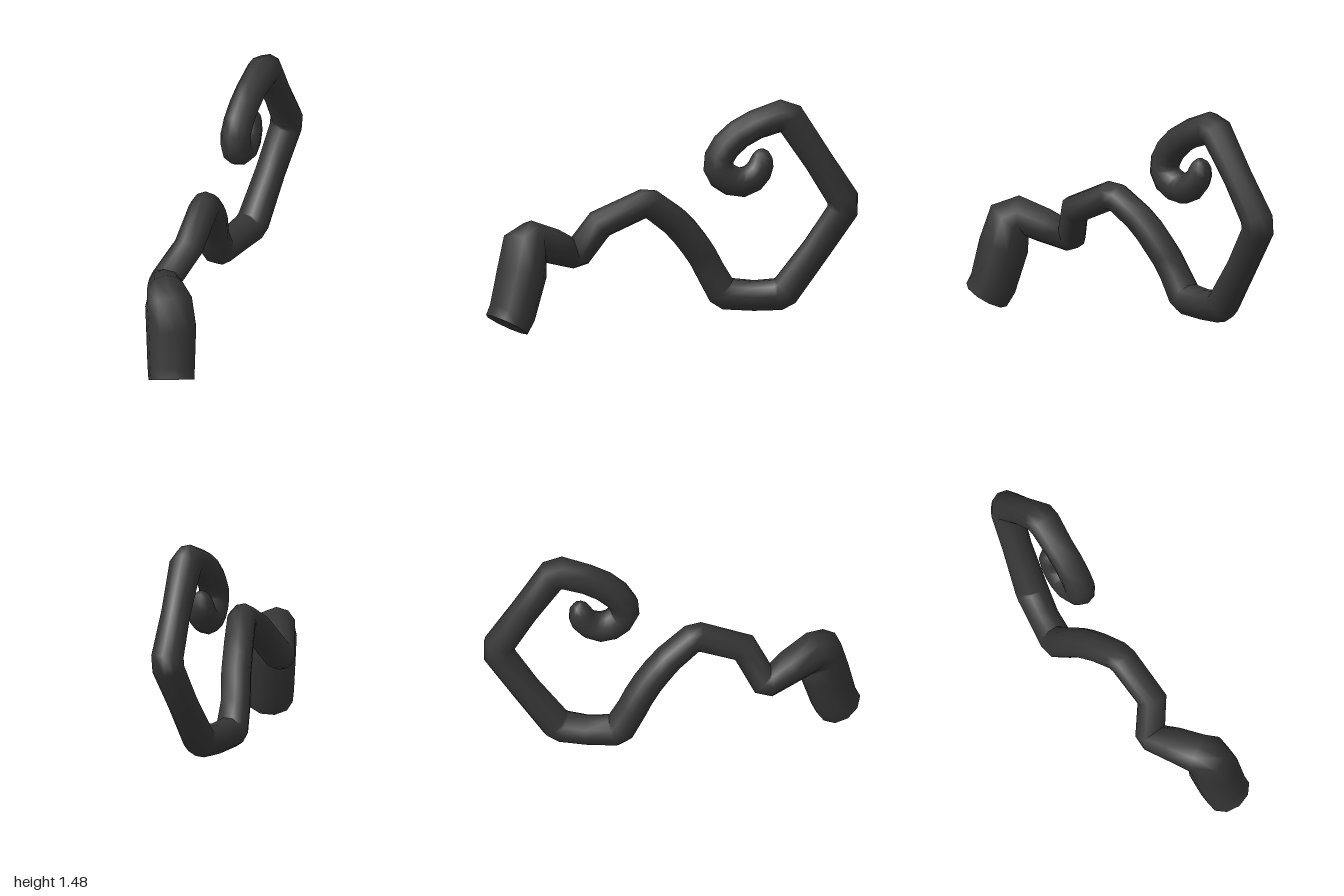
import * as THREE from 'three';

const SIDES = 10;

// Centre line of the tail: x, y, z, radius; a fifth number is the chamfer of a sharp bend
const path = [
  // thick root
  [-0.86, 0.078, 0.685, 0.15],
  [-0.838, 0.155, 0.647, 0.155],
  [-0.8, 0.41, 0.585, 0.164],
  [-0.795, 0.575, 0.545, 0.156],
  [-0.775, 0.61, 0.48, 0.129],
  // thin kinked part
  [-0.69, 0.55, 0.335, 0.114],
  [-0.603, 0.482, 0.18, 0.1, 0.028],
  [-0.428, 0.698, 0.198, 0.098],
  [-0.18, 0.833, 0.0, 0.097, 0.035],
  // slope down to the low bend
  [-0.06, 0.695, -0.14, 0.098],
  [-0.01, 0.615, -0.2, 0.1],
  [0.035, 0.53, -0.25, 0.1],
  [0.07, 0.445, -0.3, 0.1],
  [0.1, 0.355, -0.34, 0.1],
  [0.168, 0.193, -0.4, 0.108, 0.028],
  [0.35, 0.18, -0.485, 0.101],
  [0.523, 0.193, -0.555, 0.108, 0.03],
  // angular loop
  [0.72, 0.49, -0.645, 0.098],
  [0.903, 0.785, -0.722, 0.105, 0.05],
  [0.75, 1.085, -0.61, 0.095],
  [0.585, 1.395, -0.49, 0.107, 0.045],
  // curl
  [0.41, 1.325, -0.385, 0.098],
  [0.32, 1.265, -0.325, 0.098],
  [0.25, 1.19, -0.28, 0.098],
  [0.212, 1.115, -0.255, 0.098],
  [0.208, 1.05, -0.25, 0.099],
  [0.232, 0.995, -0.27, 0.101],
  [0.275, 0.957, -0.31, 0.102],
  [0.33, 0.945, -0.35, 0.101],
  [0.383, 0.97, -0.39, 0.096],
  [0.415, 1.015, -0.418, 0.09],
  [0.428, 1.06, -0.432, 0.083],
  [0.43, 1.1, -0.434, 0.073],
  [0.427, 1.135, -0.432, 0.052],
  [0.424, 1.157, -0.43, 0.02],
];

// Split each sharp bend into two close stations, giving a chamfered elbow
function stations() {
  const pts = path.map(([x, y, z]) => new THREE.Vector3(x, y, z));
  const out = [];
  path.forEach(([, , , r, chamfer], i) => {
    if (!chamfer) return out.push({ p: pts[i], r });
    for (const k of [i - 1, i + 1]) {
      const d = pts[k].clone().sub(pts[i]).normalize();
      out.push({ p: pts[i].clone().addScaledVector(d, chamfer), r });
    }
  });
  return out;
}

// Rings carried along the path without twisting
function makeRings() {
  const st = stations();
  const normal = new THREE.Vector3(1, 0, 0);
  let prev = null;
  return st.map(({ p, r }, i) => {
    const t = new THREE.Vector3();
    if (i > 0) t.add(p.clone().sub(st[i - 1].p).normalize());
    if (i < st.length - 1) t.add(st[i + 1].p.clone().sub(p).normalize());
    t.normalize();
    if (prev) normal.applyQuaternion(new THREE.Quaternion().setFromUnitVectors(prev, t));
    normal.addScaledVector(t, -normal.dot(t)).normalize();
    prev = t;
    const side = t.clone().cross(normal);
    return Array.from({ length: SIDES }, (_, j) => {
      const a = (j / SIDES) * Math.PI * 2;
      return p.clone().addScaledVector(normal, r * Math.cos(a)).addScaledVector(side, r * Math.sin(a));
    });
  });
}

function build(points, index) {
  const g = new THREE.BufferGeometry().setFromPoints(points);
  g.setIndex(index);
  g.computeVertexNormals();
  return g;
}

export function createModel() {
  const group = new THREE.Group();
  group.name = 'curledTail';
  const charcoal = new THREE.MeshStandardMaterial({ color: 0x353535 });
  charcoal.name = 'charcoal';

  const rings = makeRings();
  const add = (name, geometry) => {
    const mesh = new THREE.Mesh(geometry, charcoal);
    mesh.name = name;
    group.add(mesh);
  };

  // Smooth skin, closed at the tip by a single point
  const skin = [];
  for (let i = 0; i < rings.length - 1; i++) {
    for (let j = 0; j < SIDES; j++) {
      const k = (j + 1) % SIDES;
      const a = i * SIDES + j, b = i * SIDES + k;
      skin.push(a, b, a + SIDES, b, b + SIDES, a + SIDES);
    }
  }
  const last = (rings.length - 1) * SIDES;
  const tip = rings.length * SIDES;
  for (let j = 0; j < SIDES; j++) skin.push(last + j, last + ((j + 1) % SIDES), tip);
  add('tail', build([...rings.flat(), new THREE.Vector3(0.423, 1.161, -0.43)], skin));

  // Flat cut face at the root
  const cap = [];
  for (let j = 1; j < SIDES - 1; j++) cap.push(0, j + 1, j);
  add('rootCap', build(rings[0], cap));

  // Centre on x and z, and rest on the ground
  const box = new THREE.Box3().setFromObject(group);
  const c = box.getCenter(new THREE.Vector3());
  group.children.forEach((m) => m.geometry.translate(-c.x, -box.min.y, -c.z));
  return group;
}
